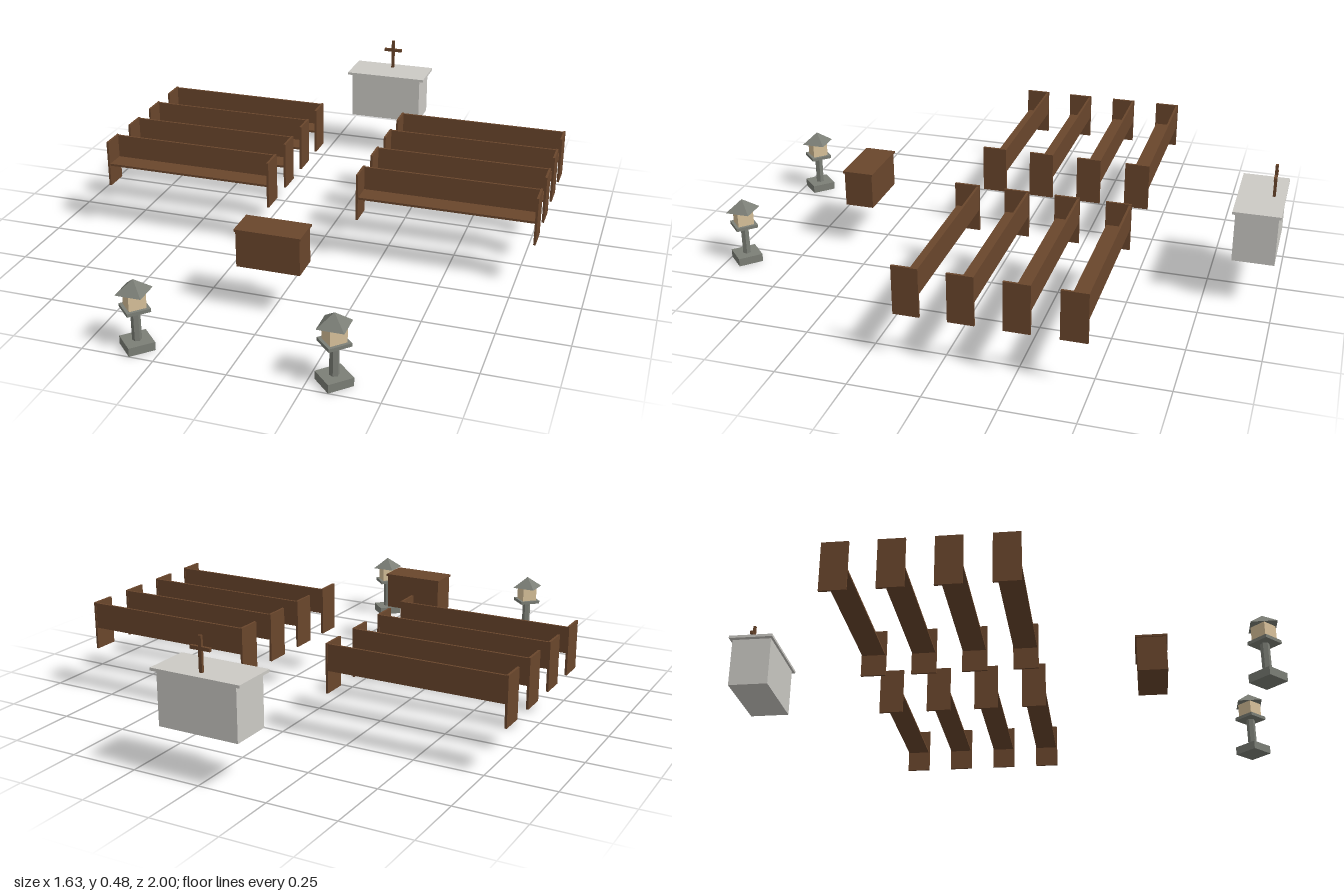
import * as THREE from 'three';

function material(name, color) {
  const m = new THREE.MeshStandardMaterial({ color });
  m.name = name;
  return m;
}

export function createModel() {
  const wood = material('brown wood', 0x6a462c);
  const marble = material('pale marble', 0xcccac5);
  const stone = material('grey stone', 0x7c7f77);
  const glow = material('warm lamp panel', 0xd9c29b);

  const model = new THREE.Group();
  model.name = 'chapelFurniture';

  function group(name, x = 0, y = 0, z = 0) {
    const g = new THREE.Group();
    g.name = name;
    g.position.set(x, y, z);
    model.add(g);
    return g;
  }

  function add(parent, name, geometry, mat, x, y, z) {
    const mesh = new THREE.Mesh(geometry, mat);
    mesh.name = name;
    mesh.position.set(x, y, z);
    parent.add(mesh);
    return mesh;
  }

  const box = (w, h, d) => new THREE.BoxGeometry(w, h, d);

  // Faceted prism or cone, flat sides kept sharp
  function prism(rTop, rBottom, height, sides) {
    const g = new THREE.CylinderGeometry(rTop, rBottom, height, sides).toNonIndexed();
    g.computeVertexNormals();
    return g;
  }

  const floor = 0.168;

  // Two columns of four pews
  for (const side of [-1, 1]) {
    for (let row = 0; row < 4; row++) {
      const pew = group('pew', side * 0.491, floor, 0.112 - row * 0.185);
      for (const end of [-1, 1]) {
        add(pew, 'endPanel', box(0.008, 0.177, 0.091), wood, end * 0.321, 0.0885, 0);
      }
      add(pew, 'seat', box(0.636, 0.008, 0.084), wood, 0, 0.084, -0.001);
      add(pew, 'backrest', box(0.636, 0.094, 0.008), wood, 0, 0.128, -0.04);
    }
  }

  // Altar with its cross
  const altar = group('altar', 0, floor, -0.917);
  add(altar, 'altarBody', box(0.296, 0.185, 0.148), marble, 0, 0.0925, 0);
  add(altar, 'altarTop', box(0.332, 0.01, 0.166), marble, 0, 0.19, 0);
  add(altar, 'crossPost', box(0.012, 0.12, 0.01), wood, 0, 0.255, -0.042);
  add(altar, 'crossBar', box(0.074, 0.012, 0.01), wood, 0, 0.273, -0.042);

  // Wooden chest in front of the pews
  const chest = group('chest', 0, floor, 0.563);
  add(chest, 'chestBody', box(0.225, 0.131, 0.108), wood, 0, 0.0655, 0);
  add(chest, 'chestLid', box(0.234, 0.008, 0.118), wood, 0, 0.135, 0);

  // Pair of stone lanterns
  for (const side of [-1, 1]) {
    const lantern = group('lantern', side * 0.333, 0, 0.936);
    add(lantern, 'lanternBase', prism(0.064, 0.064, 0.03, 4), stone, 0, 0.015, 0);
    add(lantern, 'lanternPost', prism(0.016, 0.016, 0.112, 6), stone, 0, 0.086, 0);
    add(lantern, 'lanternPlatform', prism(0.057, 0.057, 0.012, 4), stone, 0, 0.146, 0);
    add(lantern, 'lanternBox', prism(0.042, 0.042, 0.054, 4), glow, 0, 0.179, 0);
    const roof = add(lantern, 'lanternRoof', prism(0, 0.064, 0.043, 4), stone, 0, 0.2275, 0);
    roof.rotation.y = Math.PI / 4;
  }

  return model;
}
